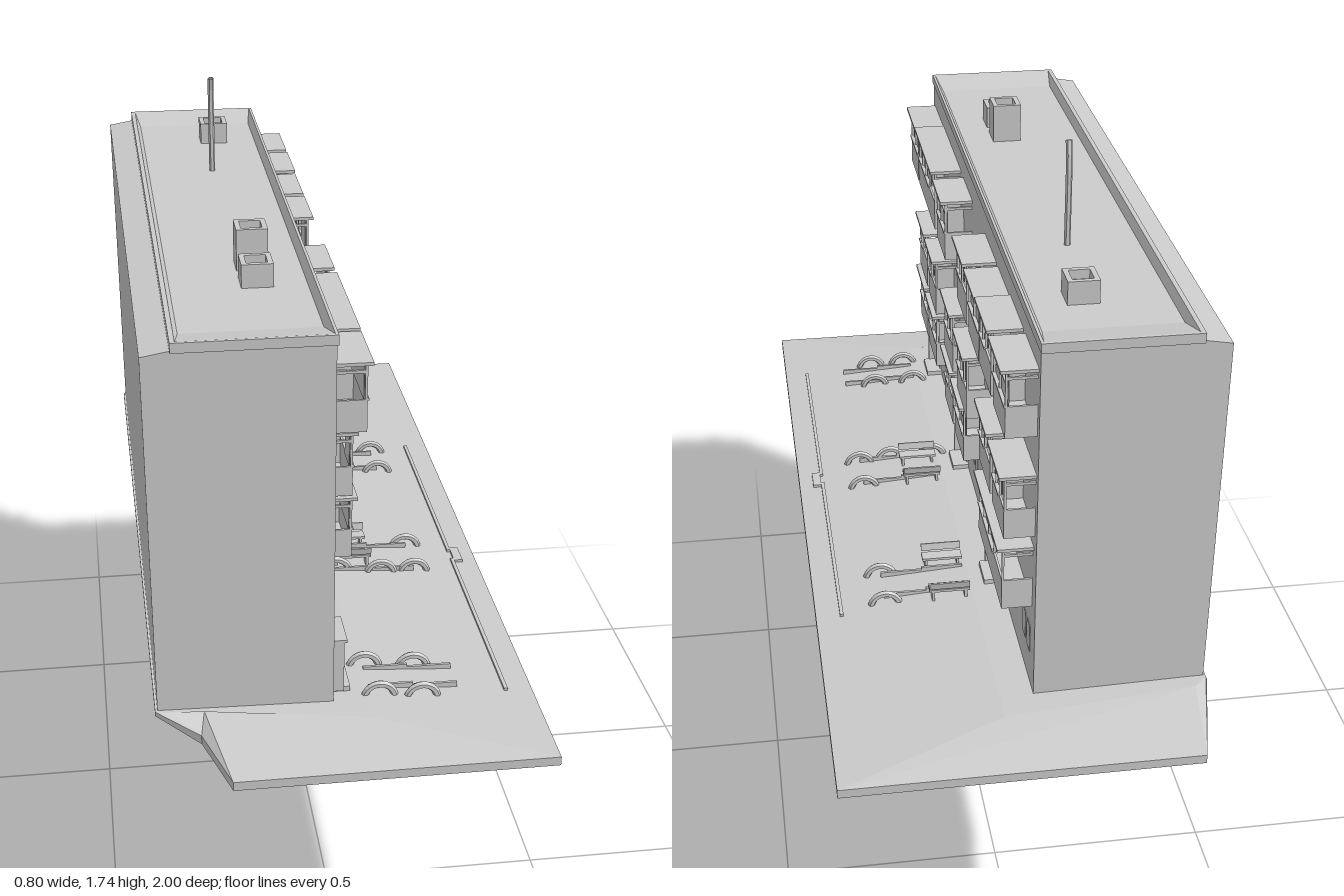
import * as THREE from 'three';

const mat = new THREE.MeshStandardMaterial({ color: 0xcccccc, flatShading: true, side: THREE.DoubleSide });

function add(parent, name, geometry) {
  const mesh = new THREE.Mesh(geometry, mat);
  mesh.name = name;
  parent.add(mesh);
  return mesh;
}

// box from its min and max on each axis
function box(parent, name, x0, x1, y0, y1, z0, z1) {
  const mesh = add(parent, name, new THREE.BoxGeometry(x1 - x0, y1 - y0, z1 - z0));
  mesh.position.set((x0 + x1) / 2, (y0 + y1) / 2, (z0 + z1) / 2);
  return mesh;
}

// flat-faced skin over rings of [x, y, z], listed bottom to top, closed at the last ring
function loft(rings) {
  const p = [];
  const n = rings[0].length;
  for (let j = 0; j < rings.length - 1; j++) {
    for (let i = 0; i < n; i++) {
      const k = (i + 1) % n;
      const [a, b, c, d] = [rings[j][i], rings[j][k], rings[j + 1][k], rings[j + 1][i]];
      p.push(...a, ...b, ...c, ...a, ...c, ...d);
    }
  }
  const top = rings[rings.length - 1];
  for (let i = 1; i < n - 1; i++) p.push(...top[0], ...top[i], ...top[i + 1]);
  const g = new THREE.BufferGeometry();
  g.setAttribute('position', new THREE.Float32BufferAttribute(p, 3));
  g.computeVertexNormals();
  return g;
}

const rect = (x0, x1, z, y) => [[x1, y, z], [x1, y, -z], [x0, y, -z], [x0, y, z]];

// height of the yard, sloping gently towards its outer edge
const groundY = (x) => 0.70 - 0.025 * Math.max(0, (x - 0.04) / 0.36);

// floating rock that carries the yard
function rock(parent) {
  const levels = [ // y, back x, front x, half length
    [0, -0.18, -0.179, 0.002], [0.09, -0.21, -0.16, 0.15], [0.26, -0.175, -0.10, 0.235],
    [0.38, -0.18, -0.04, 0.36], [0.46, -0.20, 0.0, 0.52], [0.54, -0.20, 0.35, 0.74],
  ];
  const rings = levels.map(([y, x0, x1, z]) => [
    [x1, y, z], [x1, y, -z], [x0, y, -z], [x0, y, -z * 0.8], [x0, y, z * 0.8], [x0, y, z * 0.86], [x0, y, z],
  ]);
  const rim = (y, yBack) => [
    [0.4, y, 1], [0.4, y, -1], [-0.35, y, -1], [-0.4, yBack, -0.8],
    [-0.4, yBack, 0.79], [-0.31, y + 0.01, 0.85], [-0.26, y, 1],
  ];
  rings.push(rim(0.655, 0.70), rim(0.675, 0.71));
  rings.push([
    [0.04, 0.70, 0.85], [0.04, 0.70, -0.85], [-0.37, 0.71, -0.82], [-0.4, 0.71, -0.79],
    [-0.4, 0.71, 0.79], [-0.37, 0.71, 0.795], [-0.3, 0.71, 0.80],
  ]);
  add(parent, 'rock', loft(rings));
}

// open-topped square chimney
function chimney(parent, z, top) {
  const s = 0.033, t = 0.022;
  const shape = new THREE.Shape([[-s, -s], [s, -s], [s, s], [-s, s]].map((q) => new THREE.Vector2(...q)));
  shape.holes.push(new THREE.Path([[-t, -t], [-t, t], [t, t], [t, -t]].map((q) => new THREE.Vector2(...q))));
  const m = add(parent, 'chimney', new THREE.ExtrudeGeometry(shape, { depth: top - 1.5, bevelEnabled: false }));
  m.rotation.x = -Math.PI / 2;
  m.position.set(-0.148, 1.5, z);
  box(parent, 'chimneyFloor', -0.172, -0.124, 1.5, top - 0.02, z - 0.024, z + 0.024);
}

// balcony with parapet, roof slab, posts and glazing over part of its width
function balcony(parent, zLeft, zRight, y0, y1, glazed) {
  const g = new THREE.Group();
  g.name = 'balcony';
  parent.add(g);
  const x0 = -0.03, x1 = 0.034, t = 0.005;
  const sill = y0 + (y1 - y0) * 0.48;
  box(g, 'floor', x0, x1, y0, y0 + t, zRight, zLeft);
  box(g, 'parapet', x1 - t, x1, y0, sill, zRight, zLeft);
  for (const z of [zRight, zLeft - t]) {
    box(g, 'sidePanel', x0, x1, y0, sill, z, z + t);
    box(g, 'post', x1 - t, x1, sill, y1, z, z + t);
    box(g, 'topRail', x0, x1, y1 - 0.018, y1 - 0.012, z, z + t);
  }
  box(g, 'roofSlab', x0, 0.045, y1 - 0.002, y1 + 0.005, zRight - 0.006, zLeft + 0.003);
  if (!glazed) return;
  const w = (zLeft - zRight) * glazed;
  const panes = Math.max(2, Math.round(w / 0.07));
  box(g, 'glass', x1 - 0.008, x1 - 0.006, sill, y1, zLeft - w, zLeft);
  box(g, 'transom', x1 - t, x1, y1 - 0.028, y1 - 0.024, zLeft - w, zLeft);
  box(g, 'windowSill', x1 - t, x1 + 0.003, sill - 0.002, sill + 0.003, zLeft - w, zLeft);
  for (let i = 1; i <= panes; i++) {
    const z = zLeft - (w * i) / panes;
    box(g, 'mullion', x1 - t, x1, sill, y1, z, z + 0.004);
  }
}

function bench(parent, z, facing) {
  const g = new THREE.Group();
  g.name = 'bench';
  g.position.set(0.095, groundY(0.095), z);
  g.rotation.y = facing > 0 ? 0 : Math.PI;
  parent.add(g);
  box(g, 'seat', -0.046, 0.046, 0.02, 0.026, -0.015, 0.015);
  for (const x of [-0.04, 0.034]) box(g, 'leg', x, x + 0.006, -0.01, 0.02, -0.015, 0.012);
  const back = box(g, 'backrest', -0.046, 0.046, 0.03, 0.047, -0.019, -0.015);
  back.rotation.x = -0.2;
}

export function createModel() {
  const model = new THREE.Group();
  model.name = 'houseOnRock';
  rock(model);

  // apartment block and roof with a shallow sunken tray
  add(model, 'building', loft([
    rect(-0.395, -0.03, 0.785, 0.70), rect(-0.402, -0.03, 0.785, 1.495), rect(-0.345, -0.03, 0.785, 1.505),
  ]));
  add(model, 'roof', loft([
    rect(-0.345, -0.028, 0.795, 1.504), rect(-0.345, -0.028, 0.795, 1.525),
    rect(-0.335, -0.034, 0.788, 1.525), rect(-0.325, -0.045, 0.71, 1.508),
  ]));
  [[0.455, 1.558], [0.355, 1.597], [-0.57, 1.558]].forEach(([z, top]) => chimney(model, z, top));
  const mast = new THREE.CatmullRomCurve3([[1.5, -0.31], [1.62, -0.309], [1.7, -0.306], [1.735, -0.297]]
    .map(([y, z]) => new THREE.Vector3(-0.172, y, z)));
  add(model, 'mast', new THREE.TubeGeometry(mast, 8, 0.007, 6));

  // balconies: left z, right z, floor y, roof y, glazed share
  [
    [0.76, 0.61, 1.305, 1.447, 1], [0.595, 0.285, 1.305, 1.45, 0.66], [0.24, 0.10, 1.305, 1.447, 1],
    [-0.10, -0.25, 1.305, 1.447, 0.5], [-0.28, -0.43, 1.305, 1.447, 1],
    [-0.44, -0.59, 1.31, 1.455, 0.5], [-0.62, -0.765, 1.31, 1.455, 1],
    [0.595, 0.445, 1.08, 1.22, 0.4], [0.415, 0.275, 1.08, 1.22, 0.4], [0.115, -0.03, 1.07, 1.22, 0.75],
    [-0.10, -0.25, 1.07, 1.22, 0.7], [-0.44, -0.59, 1.08, 1.22, 0.5], [-0.62, -0.765, 1.08, 1.22, 0.6],
    [0.595, 0.445, 0.935, 1.07, 1], [0.415, 0.275, 0.935, 1.07, 1], [0.115, -0.03, 0.935, 1.07, 0.5],
    [-0.06, -0.205, 0.935, 1.07, 1], [-0.44, -0.75, 0.90, 1.043, 0.66],
  ].forEach((b) => balcony(model, ...b));

  // entrances with door, side wall and canopy
  for (const z of [0.71, 0.19, -0.33]) {
    box(model, 'canopy', -0.03, 0.002, 0.823, 0.83, z - 0.047, z + 0.047);
    box(model, 'door', -0.03, -0.026, 0.705, 0.805, z - 0.025, z + 0.025);
    box(model, 'entranceWall', -0.03, -0.004, 0.705, 0.823, z + 0.038, z + 0.045);
    box(model, 'doorstep', -0.03, 0.01, 0.695, 0.712, z - 0.04, z + 0.04);
  }
  // wall windows and stairwell windows
  for (const z of [0.58, 0.53, 0.4, 0.35, 0.06, 0.01, -0.13, -0.18, -0.48, -0.53, -0.67, -0.72])
    box(model, 'groundWindow', -0.03, -0.0285, 0.775, 0.84, z - 0.017, z + 0.017);
  for (const z of [0.70, 0.18, -0.34])
    for (const y of [0.93, 1.13]) box(model, 'stairWindow', -0.03, -0.0285, y, y + 0.07, z - 0.02, z + 0.02);
  box(model, 'drainPipe', -0.03, -0.022, 0.795, 0.865, 0.424, 0.43);

  // half-buried tyres in the yard
  [
    [0.055, 0.65], [0.16, 0.655], [0.07, 0.765], [0.16, 0.77], [0.055, 0.24], [0.16, 0.25],
    [0.24, 0.245], [0.24, 0.125], [0.24, -0.275], [0.24, -0.39],
  ].forEach(([x, z]) => {
    const tyre = add(model, 'tyre', new THREE.TorusGeometry(0.032, 0.008, 6, 14, Math.PI));
    tyre.position.set(x, groundY(x) - 0.008, z);
  });
  [[-0.395, 1], [-0.265, -1], [0.12, 1], [0.21, -1]].forEach(([z, f]) => bench(model, z, f));

  // kerbs along the road and the paths
  const kerb = (x0, x1, z0, z1) => box(model, 'kerb', x0, x1, groundY(x1) - 0.008, groundY(x0) + 0.006, z0, z1);
  kerb(0.338, 0.346, -0.42, 0.16);
  kerb(0.346, 0.366, 0.15, 0.21);
  kerb(0.338, 0.346, 0.2, 0.76);
  for (const z of [-0.37, -0.285, 0.135, 0.245, 0.67, 0.74])
    for (let i = 0; i < 2; i++) kerb(0.05 + i * 0.095, 0.145 + i * 0.095, z - 0.003, z + 0.003);
  return model;
}
